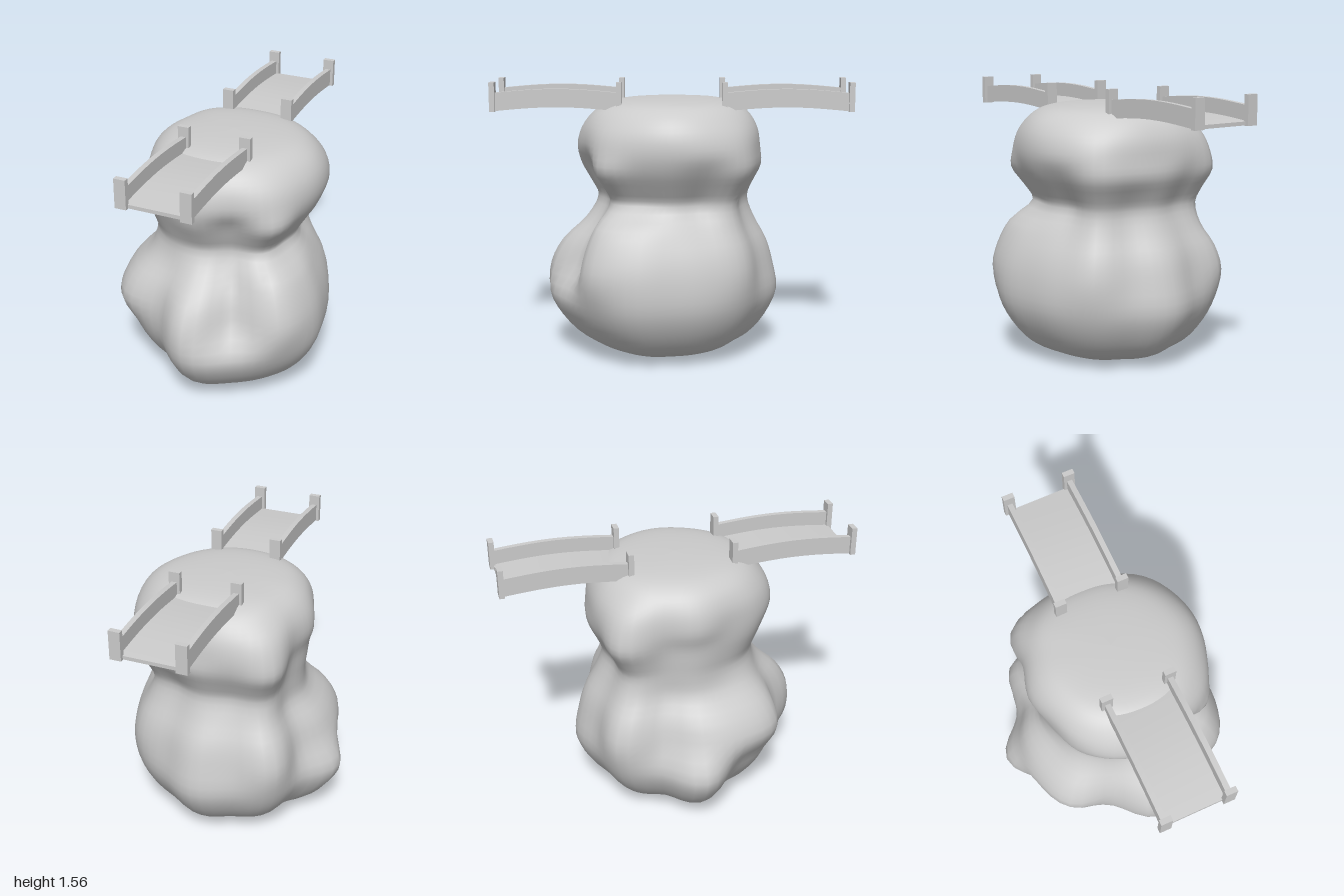
import * as THREE from 'three';
import { toCreasedNormals } from 'three/addons/utils/BufferGeometryUtils.js';

const CX = 0.06; // shared axis of the boulder and the bridges
const grey = new THREE.MeshStandardMaterial({ color: 0xcccccc, side: THREE.DoubleSide });

// Boulder outlines: radii in 16 directions, from +x round through +z, -x and -z
const lowBelly = [.57, .63, .64, .66, .71, .58, .59, .57, .70, .58, .62, .58, .61, .55, .56, .56];
const highBelly = [.57, .64, .68, .54, .70, .58, .68, .65, .60, .53, .66, .56, .58, .53, .58, .56];
const shoulder = [.47, .53, .57, .43, .49, .47, .49, .46, .45, .43, .53, .47, .47, .44, .49, .45];
const waist = [.39, .40, .44, .38, .42, .44, .44, .43, .44, .43, .50, .43, .43, .41, .46, .38];
const lowCrown = [.50, .51, .57, .46, .52, .51, .50, .46, .46, .46, .60, .52, .51, .52, .56, .50];
const crown = [.53, .53, .55, .52, .54, .54, .51, .47, .49, .48, .58, .53, .50, .51, .55, .54];
const lid = [.54, .53, .53, .53, .52, .52, .51, .49, .49, .49, .53, .52, .50, .51, .52, .53];

// Vertical profile: height, outline below, outline above, blend, scale
const profile = [
  [.02, lowBelly, lowBelly, 0, 0],
  [.008, lowBelly, lowBelly, 0, .28],
  [.035, lowBelly, lowBelly, 0, .51],
  [.1, lowBelly, lowBelly, 0, .73],
  [.22, lowBelly, lowBelly, 0, .9],
  [.36, lowBelly, highBelly, .1, 1],
  [.52, lowBelly, highBelly, .9, 1],
  [.66, highBelly, shoulder, .35, 1],
  [.79, shoulder, shoulder, 0, 1],
  [.91, waist, lowCrown, 0, 1],
  [1.0, waist, lowCrown, .4, 1],
  [1.1, waist, lowCrown, .95, 1],
  [1.2, lowCrown, crown, .9, 1],
  [1.3, crown, lid, .5, .97],
  [1.38, lid, lid, 0, .88],
  [1.43, lid, lid, 0, .76],
  [1.455, lid, lid, 0, .62],
  [1.47, lid, lid, 0, .35],
  [1.475, lid, lid, 0, 0],
];

// Smooth periodic lookup in an outline, t in 0..1
function radiusAt(outline, t) {
  const n = outline.length, i = Math.floor(t * n), f = t * n - i;
  const [a, b, c, d] = [-1, 0, 1, 2].map((k) => outline[(i + k + n) % n]);
  return b + 0.5 * f * (c - a + f * (2 * a - 5 * b + 4 * c - d + f * (3 * (b - c) + d - a)));
}

function createBoulder() {
  const sides = 64, rows = 54, pos = [], index = [];
  for (let s = 0; s < sides; s++) {
    const t = s / sides, angle = t * Math.PI * 2;
    const line = new THREE.CatmullRomCurve3(profile.map(([y, lower, upper, blend, scale]) => {
      const r = scale * THREE.MathUtils.lerp(radiusAt(lower, t), radiusAt(upper, t), blend);
      return new THREE.Vector3(r, y, 0);
    }));
    for (const p of line.getPoints(rows)) {
      pos.push(CX - .01 + p.x * Math.cos(angle), p.y, p.x * Math.sin(angle));
    }
  }
  const stride = rows + 1;
  for (let s = 0; s < sides; s++) {
    for (let r = 0; r < rows; r++) {
      const a = s * stride + r, b = ((s + 1) % sides) * stride + r;
      index.push(a, a + 1, b, b, a + 1, b + 1);
    }
  }
  const g = new THREE.BufferGeometry();
  g.setAttribute('position', new THREE.Float32BufferAttribute(pos, 3));
  g.setIndex(index);
  g.computeVertexNormals();
  const mesh = new THREE.Mesh(g, grey);
  mesh.name = 'boulder';
  return mesh;
}

// Gently arched beam running along z from .29 to .98
function archedBeam(name, width, height, x) {
  const steps = 10, z0 = .29, z1 = .98, shape = new THREE.Shape();
  const rise = (u) => 1.412 + .022 * Math.sin(Math.PI * u);
  const at = (i) => THREE.MathUtils.lerp(z0, z1, i / steps);
  shape.moveTo(z0, rise(0));
  for (let i = 1; i <= steps; i++) shape.lineTo(at(i), rise(i / steps));
  for (let i = steps; i >= 0; i--) shape.lineTo(at(i), rise(i / steps) + height);
  const g = new THREE.ExtrudeGeometry(shape, { depth: width, bevelEnabled: false });
  g.translate(0, 0, -width / 2).rotateY(-Math.PI / 2).translate(x, 0, 0);
  const mesh = new THREE.Mesh(toCreasedNormals(g, .5), grey);
  mesh.name = name;
  return mesh;
}

// Bridge: arched deck, two side rails and four corner posts
function createBridge(name) {
  const bridge = new THREE.Group();
  bridge.name = name;
  bridge.add(archedBeam('deck', .34, .02, 0));
  for (const side of [-1, 1]) {
    bridge.add(archedBeam('rail', .03, .1, side * .178));
    for (const z of [.29, .985]) {
      const post = new THREE.Mesh(new THREE.BoxGeometry(.063, .16, .03), grey);
      post.position.set(side * .178, 1.49, z);
      post.name = 'post';
      bridge.add(post);
    }
  }
  bridge.position.x = CX + .008;
  return bridge;
}

export function createModel() {
  const model = new THREE.Group();
  model.name = 'boulderWithBridges';
  const front = createBridge('frontBridge');
  const back = createBridge('backBridge');
  back.scale.z = -1; // mirrored copy
  model.add(createBoulder(), front, back);
  return model;
}
